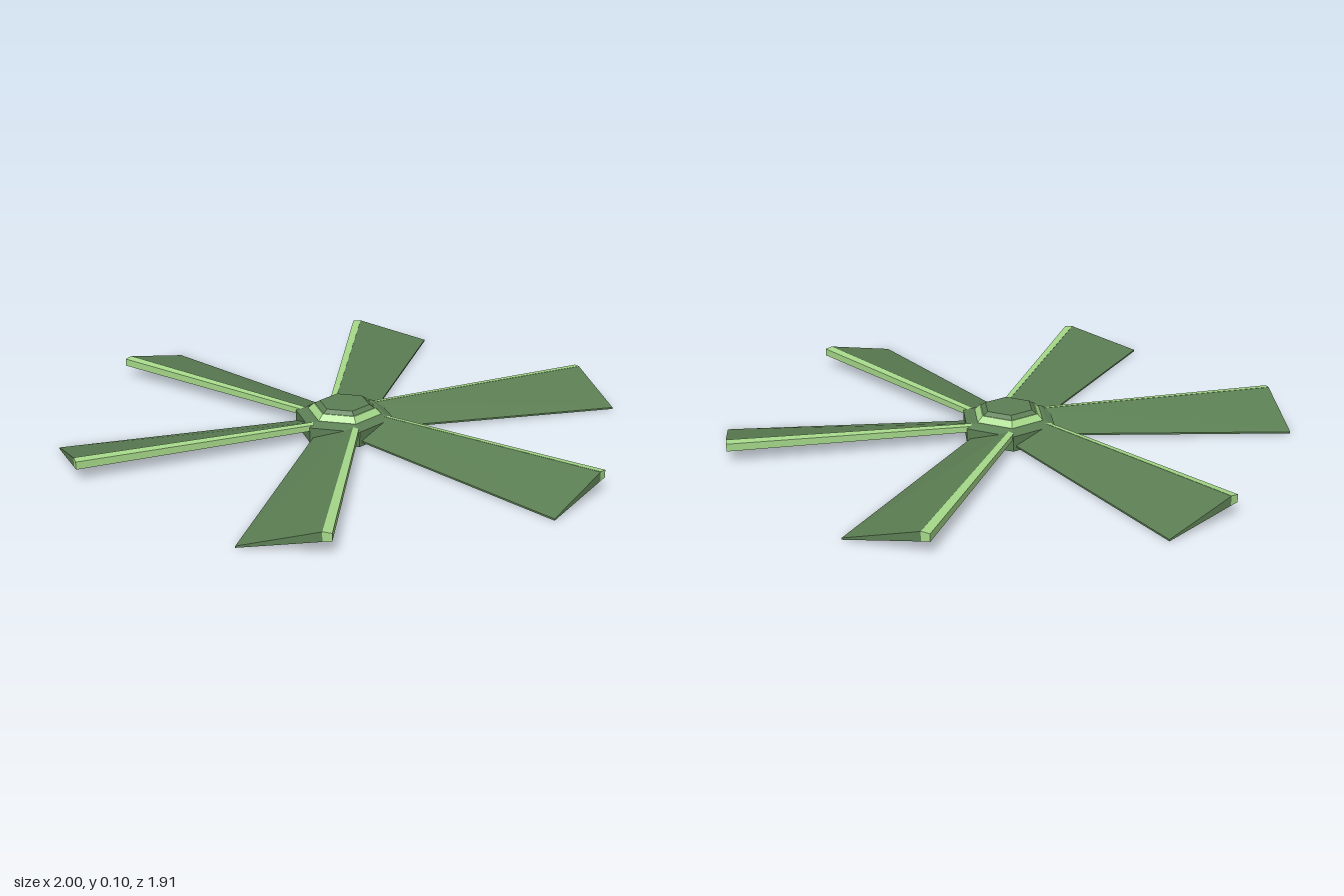
import * as THREE from 'three';

const green = new THREE.MeshStandardMaterial({ color: 0x5c7f54, flatShading: true });
const lightGreen = new THREE.MeshStandardMaterial({ color: 0xa6d98a, flatShading: true });

// Solid between a root and a tip section, each a list of [x, y, z]
function loft(root, tip) {
  const n = root.length, pos = [];
  const tri = (a, b, c) => pos.push(...a, ...b, ...c);
  for (let i = 0; i < n; i++) {
    const j = (i + 1) % n;
    tri(root[i], root[j], tip[j]);
    tri(root[i], tip[j], tip[i]);
  }
  for (let i = 1; i < n - 1; i++) {
    tri(tip[0], tip[i], tip[i + 1]);
    tri(root[0], root[i + 1], root[i]);
  }
  const g = new THREE.BufferGeometry();
  g.setAttribute('position', new THREE.Float32BufferAttribute(pos, 3));
  g.computeVertexNormals();
  return g;
}

export function createModel() {
  const model = new THREE.Group();
  model.name = 'propeller';

  const add = (parent, name, geometry, material) => {
    const mesh = new THREE.Mesh(geometry, material);
    mesh.name = name;
    parent.add(mesh);
    return mesh;
  };

  // Pitched blade panel: thick leading side, thin low trailing edge
  const panel = loft(
    [[0.12, 0.063, -0.066], [0.12, 0.02, 0.07], [0.12, 0.014, 0.07], [0.12, 0.038, -0.066]],
    [[0.972, 0.075, -0.205], [1.0, 0.006, 0.06], [1.0, 0, 0.06], [0.972, 0.042, -0.205]]
  );
  // Light bar along the leading edge
  const bar = loft(
    [[0.12, 0.061, -0.087], [0.12, 0.064, -0.066], [0.12, 0.038, -0.066], [0.12, 0.04, -0.087]],
    [[0.968, 0.072, -0.235], [0.972, 0.076, -0.205], [0.972, 0.042, -0.205], [0.968, 0.045, -0.235]]
  );
  for (let i = 0; i < 6; i++) {
    const blade = new THREE.Group();
    blade.name = `blade${i + 1}`;
    blade.rotation.y = i * Math.PI / 3;
    add(blade, 'bladePanel', panel, green);
    add(blade, 'leadingEdge', bar, lightGreen);
    model.add(blade);
  }

  // Hexagonal hub, stacked in tapering tiers: name, bottom radius, top radius, y from, y to
  const hub = new THREE.Group();
  hub.name = 'hub';
  hub.rotation.y = 0.05;
  const tiers = [
    ['hubBody', 0.178, 0.178, 0, 0.055, green],
    ['hubBevel', 0.178, 0.145, 0.055, 0.068, green],
    ['capRing', 0.133, 0.112, 0.068, 0.088, lightGreen],
    ['capTop', 0.108, 0.09, 0.088, 0.1, green],
  ];
  for (const [name, r0, r1, y0, y1, material] of tiers) {
    const tier = add(hub, name, new THREE.CylinderGeometry(r1, r0, y1 - y0, 6), material);
    tier.position.y = (y0 + y1) / 2;
  }
  model.add(hub);
  return model;
}
